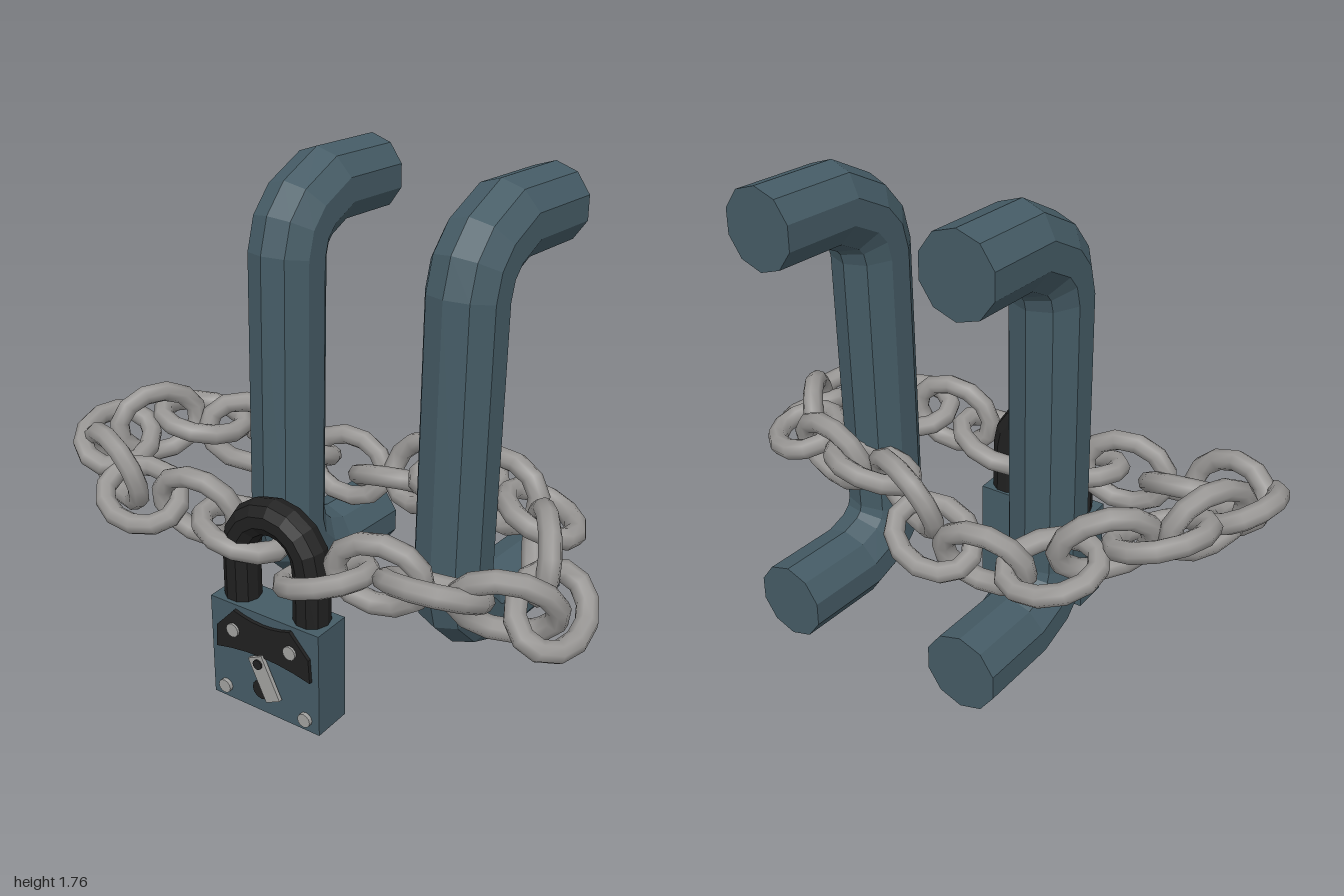
import * as THREE from 'three';

const paint = (color, flatShading = true) => new THREE.MeshStandardMaterial({ color, flatShading });
const slate = paint(0x455b65), black = paint(0x202020), steel = paint(0x989694, false), silver = paint(0xa0a09e);
const V = (x, y, z) => new THREE.Vector3(x, y, z);
const rad = THREE.MathUtils.degToRad;

function mesh(name, geometry, material, x = 0, y = 0, z = 0) {
  const m = new THREE.Mesh(geometry, material);
  m.name = name;
  m.position.set(x, y, z);
  return m;
}

// Capped bar of mitred rings along a planar path; n is the normal of that plane.
function sweep(path, r, sides, n) {
  const pos = [], idx = [], last = path.length - 1;
  path.forEach((p, i) => {
    const a = p.clone().sub(path[Math.max(i - 1, 0)]).normalize();
    const b = path[Math.min(i + 1, last)].clone().sub(p).normalize();
    const t = a.clone().add(b).normalize();
    const miter = i > 0 && i < last ? 1 / t.dot(b) : 1;
    const side = t.clone().cross(n).normalize();
    for (let j = 0; j < sides; j++) {
      const ang = ((j + 0.5) / sides) * Math.PI * 2;
      const v = p.clone().addScaledVector(n, r * Math.cos(ang)).addScaledVector(side, r * miter * Math.sin(ang));
      pos.push(v.x, v.y, v.z);
    }
  });
  const c = path.length * sides, end = last * sides;
  pos.push(...path[0].toArray(), ...path[last].toArray());
  for (let j = 0; j < sides; j++) {
    const k = (j + 1) % sides;
    for (let i = 0; i < last; i++) {
      const a = i * sides, d = a + sides;
      idx.push(a + j, a + k, d + j, a + k, d + k, d + j);
    }
    idx.push(c, k, j, c + 1, end + j, end + k);
  }
  const g = new THREE.BufferGeometry();
  g.setAttribute('position', new THREE.Float32BufferAttribute(pos, 3));
  g.setIndex(idx);
  const flat = g.toNonIndexed();
  flat.computeVertexNormals();
  return flat;
}

// Bent door pull: two arms reaching back to z = back, joined by an upright.
function handle(name, x, dy, dz, yaw, back) {
  const path = [
    [back, 1.617], [-0.235, 1.617], [-0.115, 1.557], [-0.065, 1.5], [-0.042, 1.42],
    [-0.02, 0.45], [-0.04, 0.375], [-0.105, 0.31], [-0.22, 0.268], [back, 0.268],
  ].map(([z, y]) => V(0, y, z));
  const m = mesh(name, sweep(path, 0.135, 10, V(1, 0, 0)), slate, x, dy, dz);
  m.rotation.y = yaw;
  return m;
}

// Oval link: a torus lengthened along x and narrowed along y, keeping its wire round.
function linkGeometry() {
  const g = new THREE.TorusGeometry(0.13, 0.037, 8, 12).rotateZ(Math.PI / 12);
  const p = g.attributes.position;
  for (let i = 0; i < p.count; i++) {
    const x = p.getX(i), y = p.getY(i), h = Math.hypot(x, y);
    p.setXY(i, x + (0.025 * x) / h, y - (0.018 * y) / h);
  }
  return g;
}

// Link centres, roll in degrees (0 lies flat, positive lifts the outer edge)
// and, where needed, an extra turn about the vertical.
const LINKS = [
  [-0.19, 0.59, 0.33, -5], [-0.37, 0.625, 0.345, 82], [-0.61, 0.61, 0.37, -35],
  [-0.755, 0.67, 0.345, 78, 16], [-0.858, 0.712, 0.225, 28], [-0.805, 0.73, 0.065, 82],
  [-0.715, 0.72, -0.08, 12], [-0.56, 0.67, -0.155, 75], [-0.44, 0.61, -0.275, -20],
  [-0.21, 0.57, -0.31, 75], [0.0, 0.57, -0.295, -28], [0.145, 0.66, -0.245, 70],
  [0.31, 0.70, -0.215, 12], [0.48, 0.70, -0.215, 78], [0.66, 0.70, -0.145, -15],
  [0.755, 0.67, 0.035, 82], [0.875, 0.585, 0.19, -33], [0.77, 0.60, 0.275, 70],
  [0.555, 0.615, 0.34, 24], [0.375, 0.62, 0.367, 84], [0.185, 0.555, 0.38, 5],
];

function chain() {
  const group = new THREE.Group();
  group.name = 'chain';
  const g = linkGeometry();
  const at = LINKS.map(([x, y, z]) => V(x, y, z));
  LINKS.forEach(([x, y, z, roll, turn = 0], i) => {
    const d = at[Math.min(i + 1, at.length - 1)].clone().sub(at[Math.max(i - 1, 0)]).normalize();
    d.applyAxisAngle(V(0, 1, 0), rad(turn));
    const w = V(0, 1, 0).cross(d).normalize().applyAxisAngle(d, rad(roll));
    const m = mesh('chainLink', g, steel, x, y, z);
    m.quaternion.setFromRotationMatrix(new THREE.Matrix4().makeBasis(d, w, d.clone().cross(w)));
    group.add(m);
  });
  return group;
}

function disc(name, r, depth, material, x, y, z) {
  return mesh(name, new THREE.CylinderGeometry(r, r, depth, 12).rotateX(Math.PI / 2), material, x, y, z);
}

function padlock() {
  const group = new THREE.Group();
  group.name = 'padlock';
  group.position.set(-0.012, 0, 0);
  group.add(mesh('lockBody', new THREE.BoxGeometry(0.444, 0.38, 0.146), slate, 0, 0.19, 0.384));

  // Shackle
  const path = [V(0.143, 0.33, 0)];
  for (let i = 0; i <= 8; i++) {
    const a = (i / 8) * Math.PI;
    path.push(V(0.143 * Math.cos(a), 0.565 + 0.143 * Math.sin(a), 0));
  }
  path.push(V(-0.143, 0.33, 0));
  group.add(mesh('shackle', sweep(path, 0.063, 10, V(0, 0, 1)), black, 0, 0, 0.382));

  // Arched face plate
  const s = new THREE.Shape();
  s.moveTo(-0.195, 0.2);
  s.lineTo(-0.19, 0.285);
  s.lineTo(-0.115, 0.365);
  s.quadraticCurveTo(0, 0.325, 0.115, 0.365);
  s.lineTo(0.19, 0.285);
  s.lineTo(0.195, 0.2);
  s.quadraticCurveTo(0, 0.25, -0.195, 0.2);
  const plate = new THREE.ExtrudeGeometry(s, { depth: 0.014, bevelEnabled: false, curveSegments: 6 });
  group.add(mesh('facePlate', plate, black, 0, 0, 0.456));

  // Rivets
  for (const side of [-1, 1]) {
    group.add(disc('plateRivet', 0.025, 0.02, silver, side * 0.118, 0.29, 0.468));
    group.add(disc('cornerRivet', 0.025, 0.016, silver, side * 0.168, 0.045, 0.463));
  }

  // Keyhole with swinging cover
  group.add(disc('keyhole', 0.036, 0.012, black, -0.01, 0.092, 0.461));
  const cover = mesh('keyholeCover', new THREE.BoxGeometry(0.062, 0.165, 0.014), silver, 0.012, 0.148, 0.472);
  cover.rotation.z = 0.45;
  group.add(cover, disc('coverPivot', 0.018, 0.012, black, -0.01, 0.2, 0.479));
  return group;
}

export function createModel() {
  const model = new THREE.Group();
  model.name = 'chainedDoorHandles';
  model.add(
    handle('rightHandle', -0.283, 0.006, -0.012, -0.045, -0.51),
    handle('leftHandle', 0.418, -0.008, 0.006, -0.06, -0.53),
    chain(),
    padlock(),
  );
  return model;
}
